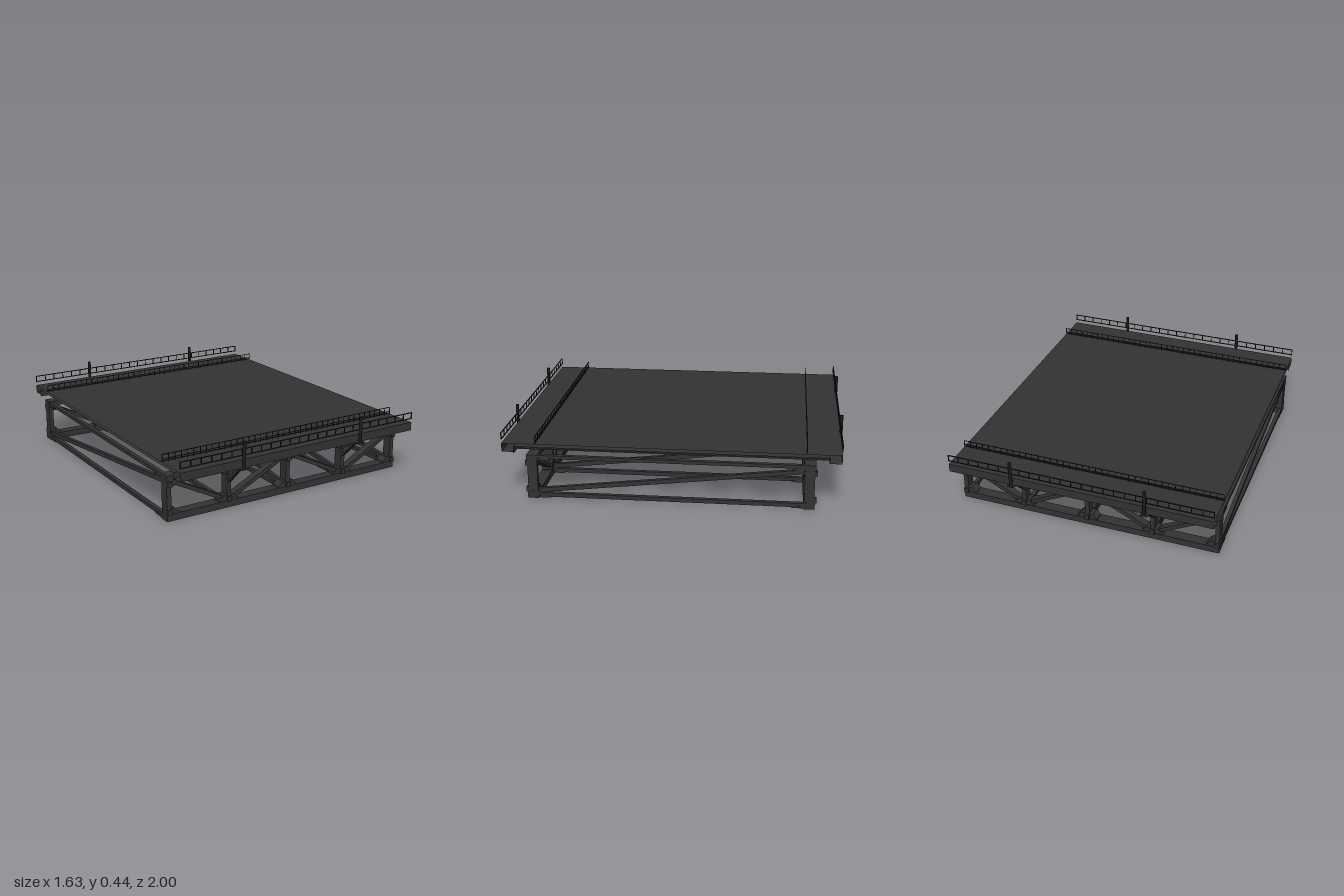
import * as THREE from 'three';

const steel = new THREE.MeshStandardMaterial({ color: 0x333333 });
const sheet = new THREE.MeshStandardMaterial({ color: 0x333333, side: THREE.DoubleSide });
const railMat = new THREE.MeshStandardMaterial({ color: 0x1c1c1c });

const HALF = 0.815;               // half length along x
const TRUSS_Z = 0.807;            // truss centre plane
const NODES = [-0.8, -0.41, 0, 0.41, 0.8];

function add(parent, name, geometry, material = steel) {
  const mesh = new THREE.Mesh(geometry, material);
  mesh.name = name;
  parent.add(mesh);
  return mesh;
}

// Axis-aligned box from its limits
function box(parent, name, x0, x1, y0, y1, z0, z1, material) {
  const mesh = add(parent, name, new THREE.BoxGeometry(x1 - x0, y1 - y0, z1 - z0), material);
  mesh.position.set((x0 + x1) / 2, (y0 + y1) / 2, (z0 + z1) / 2);
  return mesh;
}

// Rectangular bar between two points
function bar(parent, name, a, b, w, h, material) {
  const p = new THREE.Vector3(...a), q = new THREE.Vector3(...b);
  const mesh = add(parent, name, new THREE.BoxGeometry(w, h, p.distanceTo(q)), material);
  mesh.position.copy(p).add(q).multiplyScalar(0.5);
  mesh.lookAt(q);
  return mesh;
}

// I-section running along z
function iBeam(parent, name, x, y0, y1, halfLength, width, t) {
  box(parent, name, x - width / 2, x + width / 2, y0, y0 + t, -halfLength, halfLength);
  box(parent, name, x - width / 2, x + width / 2, y1 - t, y1, -halfLength, halfLength);
  box(parent, name, x - t / 2, x + t / 2, y0, y1, -halfLength, halfLength);
}

// Corner gusset: dx, dy give the direction the plate grows from its corner
function gusset(parent, x, y, dx, dy) {
  const s = new THREE.Shape();
  const pts = [[0, 0], [0.05, 0], [0.05, 0.006], [0.022, 0.035], [0, 0.035]].map(
    ([u, v]) => new THREE.Vector2(x + u * dx, y + v * dy));
  s.setFromPoints(pts);
  const g = new THREE.ExtrudeGeometry(s, { depth: 0.06, bevelEnabled: false });
  add(parent, 'gussetPlate', g).position.z = TRUSS_Z - 0.03;
}

function buildTruss() {
  const g = new THREE.Group();
  g.name = 'sideTruss';
  const z0 = TRUSS_Z - 0.033, z1 = TRUSS_Z + 0.033;

  // Chords
  box(g, 'bottomChord', -HALF, HALF, 0.002, 0.043, z0, z1);
  box(g, 'topChord', -HALF, HALF, 0.24, 0.272, z0, z1);

  // Posts with gussets
  NODES.forEach((x) => {
    const w = 0.014;
    box(g, 'post', x - w, x + w, 0.04, 0.245, z0 + 0.004, z1 - 0.004);
    for (const d of [-1, 1]) {
      if (Math.abs(x + d * 0.1) > HALF) continue;
      gusset(g, x + d * w, 0.042, d, 1);
      gusset(g, x + d * w, 0.242, d, -1);
    }
    for (const y of [0.055, 0.22])
      box(g, 'jointPlate', x - w, x + w, y - 0.015, y + 0.015, z1 - 0.005, z1 + 0.009);
  });

  // Diagonals, low at the quarter nodes
  for (let i = 0; i < 4; i++) {
    const [ya, yb] = i % 2 ? [0.05, 0.236] : [0.236, 0.05];
    bar(g, 'diagonal', [NODES[i] + 0.015, ya, TRUSS_Z], [NODES[i + 1] - 0.015, yb, TRUSS_Z], 0.045, 0.024);
  }

  // Outrigger ladder brackets and tall posts
  for (const x of [-0.41, 0.41]) {
    const b = new THREE.Group();
    b.name = 'outriggerBracket';
    g.add(b);
    const a = [0.15, 0.825], c = [0.28, 0.955];
    for (const s of [-0.009, 0.009])
      bar(b, 'bracketArm', [x + s, ...a], [x + s, ...c], 0.006, 0.015);
    for (let i = 0; i < 9; i++) {
      const t = (i + 0.5) / 9;
      const y = a[0] + (c[0] - a[0]) * t, z = a[1] + (c[1] - a[1]) * t;
      box(b, 'bracketRung', x - 0.009, x + 0.009, y - 0.004, y + 0.004, z - 0.004, z + 0.004);
    }
    box(g, 'postFoot', x - 0.022, x + 0.022, 0.278, 0.285, 0.965, 1.0);
    const post = add(g, 'tallPost', new THREE.CylinderGeometry(0.01, 0.01, 0.164, 10), railMat);
    post.position.set(x, 0.362, 0.99);
  }
  return g;
}

// Railing of horizontal bars and evenly spaced uprights
function buildRailing(name, z, heights, y0, y1, count, t) {
  const g = new THREE.Group();
  g.name = name;
  heights.forEach((y) => box(g, 'rail', -HALF, HALF, y - t, y + t, z - t, z + t, railMat));
  for (let i = 0; i < count; i++) {
    const x = -HALF + t + (2 * (HALF - t) * i) / (count - 1);
    box(g, 'upright', x - t, x + t, y0, y1, z - t, z + t, railMat);
  }
  return g;
}

// Folded sheet deck, open at both ends
function buildDeck() {
  const g = new THREE.Group();
  g.name = 'deck';
  const flat = (name, y, z0, z1) => {
    const m = add(g, name, new THREE.PlaneGeometry(2 * HALF, z1 - z0).rotateX(-Math.PI / 2), sheet);
    m.position.set(0, y, (z0 + z1) / 2);
  };
  flat('deckTop', 0.338, -0.985, 0.985);
  flat('deckSoffit', 0.32, -0.915, 0.915);
  for (const s of [-1, 1]) {
    flat('walkwaySoffit', 0.287, s > 0 ? 0.915 : -0.985, s > 0 ? 0.985 : -0.915);
    const f = add(g, 'fascia', new THREE.PlaneGeometry(2 * HALF, 0.051), sheet);
    f.position.set(0, 0.3125, s * 0.985);
    const e = add(g, 'innerFascia', new THREE.PlaneGeometry(2 * HALF, 0.045), sheet);
    e.position.set(0, 0.2975, s * 0.915);
  }
  return g;
}

export function createModel() {
  const model = new THREE.Group();
  model.name = 'trussBridgeSection';
  model.add(buildDeck());

  // Floor beams under the deck
  for (let i = 0; i < 8; i++) iBeam(model, 'floorBeam', -0.7 + i * 0.2, 0.275, 0.32, 0.914, 0.06, 0.008);

  // Two identical sides
  for (let i = 0; i < 2; i++) {
    const side = new THREE.Group();
    side.name = i ? 'backSide' : 'frontSide';
    side.add(buildTruss());
    side.add(buildRailing('outerRailing', 0.984, [0.4, 0.363], 0.36, 0.402, 26, 0.0025));
    side.add(buildRailing('innerRailing', 0.787, [0.382, 0.355, 0.345], 0.338, 0.384, 41, 0.0018));
    side.rotation.y = i * Math.PI;
    model.add(side);
  }

  // Cross frames between the trusses
  const zc = 0.775;
  for (const x of NODES) {
    box(model, 'bottomStrut', x - 0.013, x + 0.013, 0.012, 0.036, -zc, zc);
    box(model, 'topStrut', x - 0.013, x + 0.013, 0.25, 0.27, -zc, zc);
    for (const s of [-1, 1]) {
      if (x * s < 0) continue;
      bar(model, 'swayBrace', [x, 0.05, s * zc], [x, 0.23, -s * zc], 0.024, 0.026);
    }
    for (const s of [-1, 1]) for (const y of [0.007, 0.238])
      box(model, 'strutPlate', x - 0.015, x + 0.015, y, y + 0.012, s * 0.74 - 0.035, s * 0.74 + 0.035);
  }
  return model;
}
